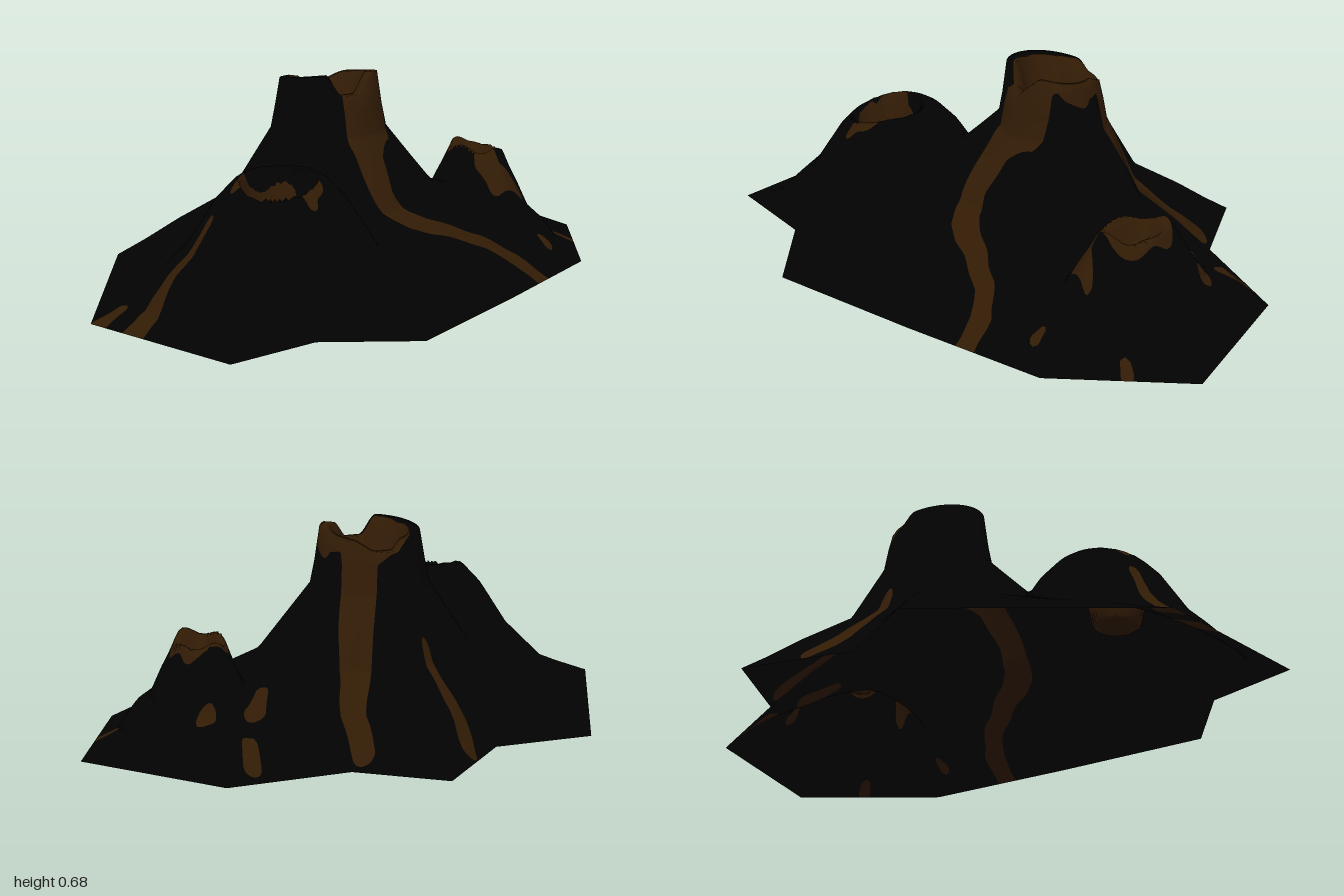
import * as THREE from 'three';

const CX = -0.012, CZ = -0.126; // axis of the main cone
const FOOT = 0.2; // radius where the chimney meets the slopes
const OVAL = 0.9; // depth of the chimney against its width

// Ground outline, [x, z]
const OUTLINE = [
  [0.015, -0.805], [0.26, -0.6], [0.67, -0.59], [1, -0.16], [0.76, 0.28], [0.31, 0.54],
  [-0.17, 0.8], [-0.47, 0.65], [-0.79, 0.72], [-1, 0.15], [-0.61, -0.57], [-0.27, -0.55],
];

// Height profiles, [distance, height]
const SLOPE = [[0, 0.48], [0.26, 0.25], [0.6, 0.14], [0.82, 0.06], [1, 0]];
const LEFT_HILL = [[0, 0.44], [0.12, 0.44], [0.15, 0.42], [0.21, 0.355], [0.305, 0.205], [0.45, 0.06], [0.52, 0]];
const LEFT_BOWL = [[0, 0.21], [0.08, 0.21], [0.12, 0.41], [0.13, 0.5]];
const RIGHT_CONE = [[0, 0.26], [0.025, 0.27], [0.06, 0.35], [0.075, 0.35], [0.1, 0.28], [0.15, 0.15], [0.3, 0]];

// Lava patches as tapered paths, [x, z, half width]
const LAVA = [
  [[0.01, -0.135, 0.15]],
  [[0.085, -0.13, 0.085]],
  [[0.045, -0.01, 0.1], [0.02, 0.07, 0.058], [0.03, 0.18, 0.047], [0.09, 0.245, 0.045], [0.22, 0.265, 0.035],
    [0.36, 0.29, 0.03], [0.45, 0.34, 0.035], [0.51, 0.43, 0.035]],
  [[0.08, -0.25, 0.06], [0.15, -0.37, 0.05], [0.2, -0.48, 0.04], [0.21, -0.58, 0.035]],
  [[-0.13, -0.64, 0.026], [-0.145, -0.52, 0.03], [-0.11, -0.36, 0.014]],
  [[-0.427, 0.315, 0.115], [-0.375, 0.39, 0.06], [-0.38, 0.46, 0.015]],
  [[-0.49, 0.26, 0.05], [-0.55, 0.27, 0.02]],
  [[-0.94, 0.33, 0.045], [-0.86, 0.28, 0.04], [-0.76, 0.235, 0.025], [-0.64, 0.25, 0.018]],
  [[-1, 0.18, 0.035], [-0.9, 0.16, 0.018]],
  [[0.587, -0.18, 0.078], [0.595, -0.095, 0.08]],
  [[0.55, -0.03, 0.03], [0.56, 0.04, 0.03], [0.64, 0.06, 0.014]],
  [[0.57, -0.55, 0.028], [0.55, -0.47, 0.022]],
  [[0.49, -0.37, 0.035], [0.44, -0.29, 0.022]],
  [[0.64, -0.36, 0.022], [0.66, -0.355, 0.022]],
  [[0.83, 0.02, 0.016], [0.88, 0.04, 0.02]],
  [[0.635, 0.21, 0.014], [0.645, 0.24, 0.018]],
];

const smooth = THREE.MathUtils.smoothstep;

function profile(points, d) {
  for (let i = 1; i < points.length; i++) {
    const [a, ha] = points[i - 1], [b, hb] = points[i];
    if (d <= b) return ha + (hb - ha) * (d - a) / (b - a);
  }
  return points[points.length - 1][1];
}

// Height of the chimney, its rim notched at the front and back
function chimneyHeight(x, z, d) {
  const a = Math.atan2((z - CZ) / OVAL, x - CX), c = Math.cos(a);
  const side = c < 0 ? smooth(-c, 0.15, 0.5) : smooth(c, 0.2, 0.75);
  const rim = 0.61 + (0.05 + 0.02 * Math.sin(a)) * side;
  return profile([[0, 0.5], [0.07, 0.5], [0.13, rim], [0.168, rim], [0.184, 0.56], [FOOT, 0.48]], d);
}

// Height of the slopes and side craters; s runs 0 to 1 from chimney to outline
function slopeHeight(x, z, s) {
  const taper = smooth(1 - s, 0, 0.18);
  const left = profile(LEFT_HILL, Math.hypot(x + 0.395, z - 0.275));
  const bowlD = Math.hypot(x + 0.425, z - 0.315);
  // oval side crater with a bumpy rim
  const rightD = Math.hypot(x - 0.585, (z + 0.13) * 0.6);
  const a = Math.atan2((z + 0.13) * 0.6, x - 0.585);
  const onRim = smooth(rightD, 0.02, 0.06) * (1 - smooth(rightD, 0.08, 0.12));
  const right = profile(RIGHT_CONE, rightD)
    + (0.01 * Math.cos(4 * a + 0.6) - 0.02 * smooth(Math.cos(a), 0.6, 1)) * onRim;
  // the bowls cut below the surrounding slope
  if (bowlD < 0.13) return Math.min(left, profile(LEFT_BOWL, bowlD));
  if (rightD < 0.06) return right;
  return Math.max(profile(SLOPE, s), left * taper, right * taper);
}

// Positive inside lava, negative on rock
function lavaField(x, z) {
  let best = -1;
  for (const path of LAVA) {
    for (let i = 0; i < path.length; i++) {
      const [ax, az, ar] = path[i], [bx, bz, br] = path[Math.min(i + 1, path.length - 1)];
      const ux = bx - ax, uz = bz - az;
      const t = THREE.MathUtils.clamp(((x - ax) * ux + (z - az) * uz) / (ux * ux + uz * uz || 1), 0, 1);
      best = Math.max(best, ar + (br - ar) * t - Math.hypot(x - ax - ux * t, z - az - uz * t));
    }
  }
  return best + 0.004 * Math.sin(x * 41 + z * 17) * Math.cos(z * 37 - x * 11);
}

// Part of a triangle on one side of the lava edge
function clip(triangle, sign) {
  const out = [];
  triangle.forEach((p, i) => {
    const q = triangle[(i + 1) % 3];
    if (p[3] * sign >= 0) out.push(p);
    if (p[3] * q[3] < 0) {
      const t = p[3] / (p[3] - q[3]);
      out.push(p.map((v, k) => v + (q[k] - v) * t));
    }
  });
  return out;
}

export function createModel() {
  const group = new THREE.Group();
  group.name = 'volcano';

  // Rings of points from the main axis out to the outline
  const border = [];
  const STEPS = 28;
  OUTLINE.forEach(([x, z], i) => {
    const [nx, nz] = OUTLINE[(i + 1) % OUTLINE.length];
    for (let k = 0; k < STEPS; k++) border.push([x + (nx - x) * k / STEPS, z + (nz - z) * k / STEPS]);
  });
  const inner = [0, 0.035, 0.07, 0.09, 0.11, 0.13, 0.15, 0.168, 0.184];
  const RINGS = 64;
  const rings = [];
  for (let r = 0; r < inner.length + RINGS + 1; r++) {
    rings.push(border.map(([bx, bz]) => {
      const dx = bx - CX, dz = bz - CZ;
      const R = Math.hypot(dx, dz / OVAL); // oval distance to the outline
      const s = (r - inner.length) / RINGS;
      const d = s < 0 ? inner[r] : FOOT + (R - FOOT) * s;
      const x = CX + dx * d / R, z = CZ + dz * d / R;
      return [x, s < 0 ? chimneyHeight(x, z, d) : slopeHeight(x, z, s), z, lavaField(x, z)];
    }));
  }

  // Split every triangle along the lava edges, sharing vertices
  const positions = [], lookup = new Map(), faces = { rock: [], lava: [] };
  const vertex = (p) => {
    const key = p.slice(0, 3).map((v) => Math.round(v * 1e5)).join();
    if (!lookup.has(key)) {
      lookup.set(key, positions.length / 3);
      positions.push(p[0], p[1], p[2]);
    }
    return lookup.get(key);
  };
  const addTriangle = (triangle) => {
    for (const [name, sign] of [['rock', -1], ['lava', 1]]) {
      const ids = clip(triangle, sign).map(vertex);
      for (let i = 2; i < ids.length; i++) {
        const [a, b, c] = [ids[0], ids[i - 1], ids[i]];
        if (a !== b && b !== c && c !== a) faces[name].push(a, b, c);
      }
    }
  };
  for (let r = 0; r + 1 < rings.length; r++) {
    for (let j = 0; j < border.length; j++) {
      const n = (j + 1) % border.length;
      const a = rings[r][j], b = rings[r][n], c = rings[r + 1][j], d = rings[r + 1][n];
      addTriangle([a, b, c]);
      addTriangle([b, d, c]);
    }
  }

  // Smooth normals over the whole surface, shared by both colours
  const whole = new THREE.BufferGeometry();
  whole.setAttribute('position', new THREE.Float32BufferAttribute(positions, 3));
  whole.setIndex([...faces.rock, ...faces.lava]);
  whole.computeVertexNormals();

  const addPart = (name, index, color, materialName) => {
    const geometry = new THREE.BufferGeometry();
    geometry.setAttribute('position', whole.getAttribute('position'));
    geometry.setAttribute('normal', whole.getAttribute('normal'));
    geometry.setIndex(index);
    const material = new THREE.MeshStandardMaterial({ color, side: THREE.DoubleSide });
    material.name = materialName;
    const mesh = new THREE.Mesh(geometry, material);
    mesh.name = name;
    group.add(mesh);
  };
  addPart('rockSlopes', faces.rock, 0x020202, 'black rock');
  addPart('lavaFlows', faces.lava, 0x311b05, 'brown lava');

  return group;
}
